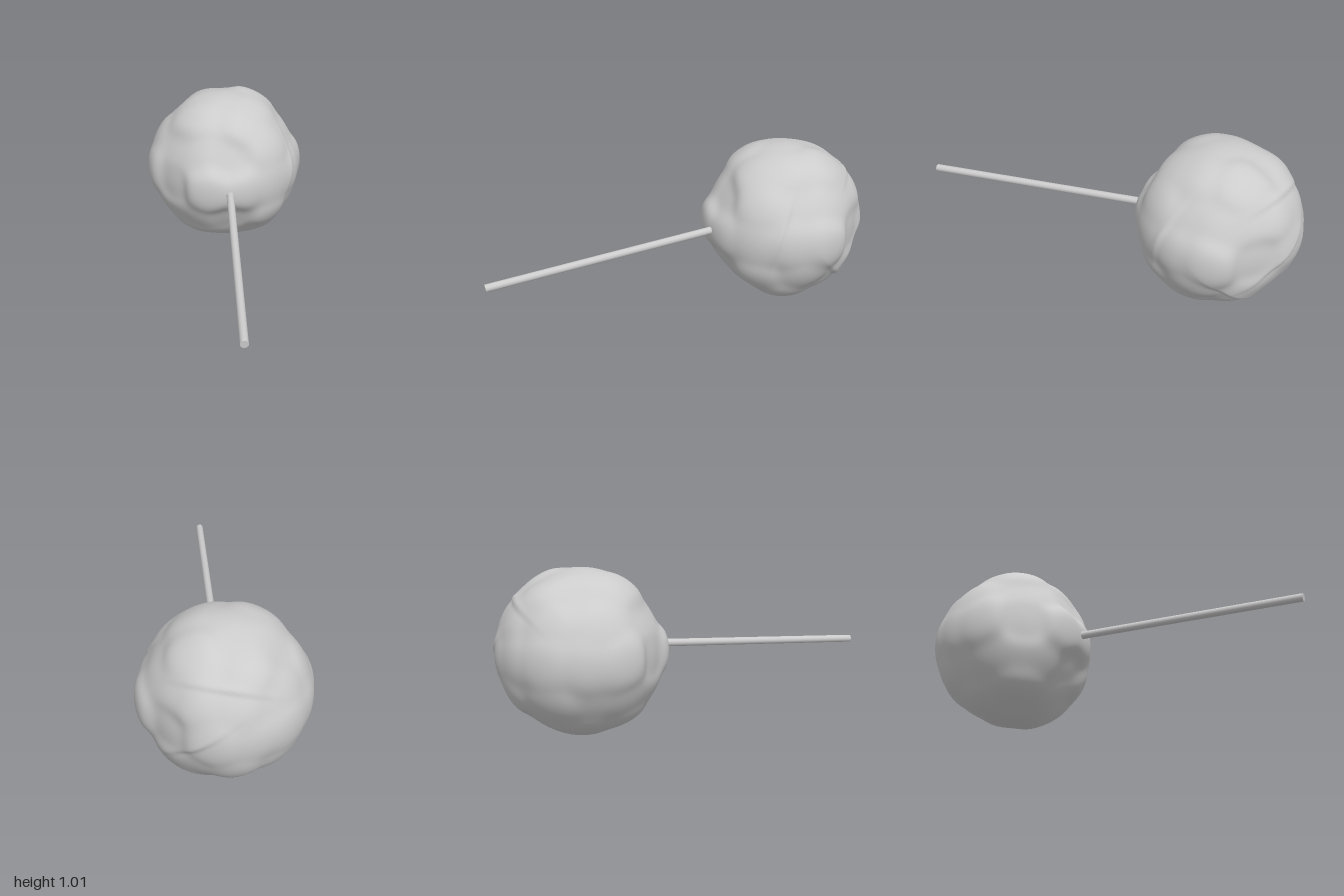
import * as THREE from 'three';
import { mergeVertices } from 'three/addons/utils/BufferGeometryUtils.js';

const CENTER = new THREE.Vector3(0.42, 0.51, -0.48);
const material = new THREE.MeshStandardMaterial({ color: 0xcccccc });
const vec = (x, y, z) => new THREE.Vector3(x, y, z);

// Cross-sections of the lumpy ball through its centre: the heading and tilt of
// the cutting plane in degrees, then the radii at even angles around it
const sections = [
  { heading: 0, tilt: 0, radii: [0.475, 0.505, 0.54, 0.505, 0.52, 0.465, 0.455, 0.485, 0.485, 0.515, 0.51, 0.515] },
  { heading: 0, tilt: 90, radii: [0.48, 0.5, 0.515, 0.515, 0.51, 0.52, 0.47, 0.53, 0.52, 0.51, 0.52, 0.54] },
  { heading: 90, tilt: 0, radii: [0.51, 0.5, 0.51, 0.505, 0.51, 0.515, 0.51, 0.53, 0.52, 0.5, 0.505, 0.51] },
  { heading: 35, tilt: 25, radii: [0.53, 0.52, 0.53, 0.51, 0.51, 0.475, 0.515, 0.46, 0.48, 0.535, 0.525, 0.505] },
  { heading: 215, tilt: 25, radii: [0.515, 0.455, 0.51, 0.52, 0.535, 0.53, 0.54, 0.525, 0.495, 0.505, 0.505, 0.495] },
  { heading: 145, tilt: -25, radii: [0.515, 0.5, 0.475, 0.5, 0.515, 0.5, 0.535, 0.52, 0.54, 0.5, 0.525, 0.495] },
];

// Folds in the surface: a step along the arc from a to b
const folds = [
  [vec(0.12, -0.1, 0.47), vec(0.2, 0.27, 0.37)],
  [vec(0.46, -0.1, -0.1), vec(0.44, -0.02, -0.2)],
  [vec(0.36, 0.3, -0.12), vec(0.2, 0.28, -0.36)],
  [vec(0.4, -0.2, 0.18), vec(0.35, -0.35, -0.07)],
].map(([a, b]) => ({
  normal: a.clone().cross(b).normalize(),
  middle: a.clone().normalize().add(b.clone().normalize()).normalize(),
}));

function makeAnchors() {
  return sections.flatMap(({ heading, tilt, radii }) => {
    const turn = new THREE.Euler(
      -THREE.MathUtils.degToRad(tilt), THREE.MathUtils.degToRad(heading), 0, 'YXZ');
    return radii.map((radius, i) => {
      const angle = (i / radii.length) * Math.PI * 2;
      return { radius, dir: vec(Math.cos(angle), Math.sin(angle), 0).applyEuler(turn) };
    });
  });
}

function foldHeight(d) {
  let total = 0;
  for (const { normal, middle } of folds) {
    const side = d.dot(normal);
    const step = THREE.MathUtils.smoothstep(side, -0.04, 0.03) * Math.exp(-Math.max(0, side) / 0.15);
    total += 0.018 * step * Math.exp(10 * (d.dot(middle) - 1));
  }
  return total;
}

// Sphere whose radius blends between the section radii, with folds on top
function makeBall() {
  const anchors = makeAnchors();
  let geometry = new THREE.IcosahedronGeometry(1, 40);
  geometry.deleteAttribute('normal');
  geometry.deleteAttribute('uv');
  geometry = mergeVertices(geometry, 1e-4);
  const position = geometry.attributes.position;
  const d = vec(0, 0, 0);
  for (let i = 0; i < position.count; i++) {
    d.fromBufferAttribute(position, i).normalize();
    let weight = 0.15;
    let sum = weight * 0.485;
    for (const { dir, radius } of anchors) {
      const w = Math.exp(50 * (d.dot(dir) - 1));
      weight += w;
      sum += w * radius;
    }
    d.multiplyScalar(sum / weight + foldHeight(d));
    position.setXYZ(i, d.x, d.y, d.z);
  }
  geometry.computeVertexNormals();
  const ball = new THREE.Mesh(geometry, material);
  ball.name = 'candyBall';
  ball.position.copy(CENTER);
  return ball;
}

// Thin round stick running from the free end into the ball
function makeStick() {
  const start = vec(-0.888, 0.425, 0.98);
  const end = vec(0.2, 0.524, -0.205);
  const axis = end.clone().sub(start);
  const stick = new THREE.Mesh(new THREE.CylinderGeometry(0.024, 0.024, axis.length(), 16), material);
  stick.name = 'stick';
  stick.position.copy(start).add(end).multiplyScalar(0.5);
  stick.quaternion.setFromUnitVectors(vec(0, 1, 0), axis.normalize());
  return stick;
}

export function createModel() {
  const group = new THREE.Group();
  group.name = 'lollipop';
  group.add(makeBall(), makeStick());
  return group;
}
